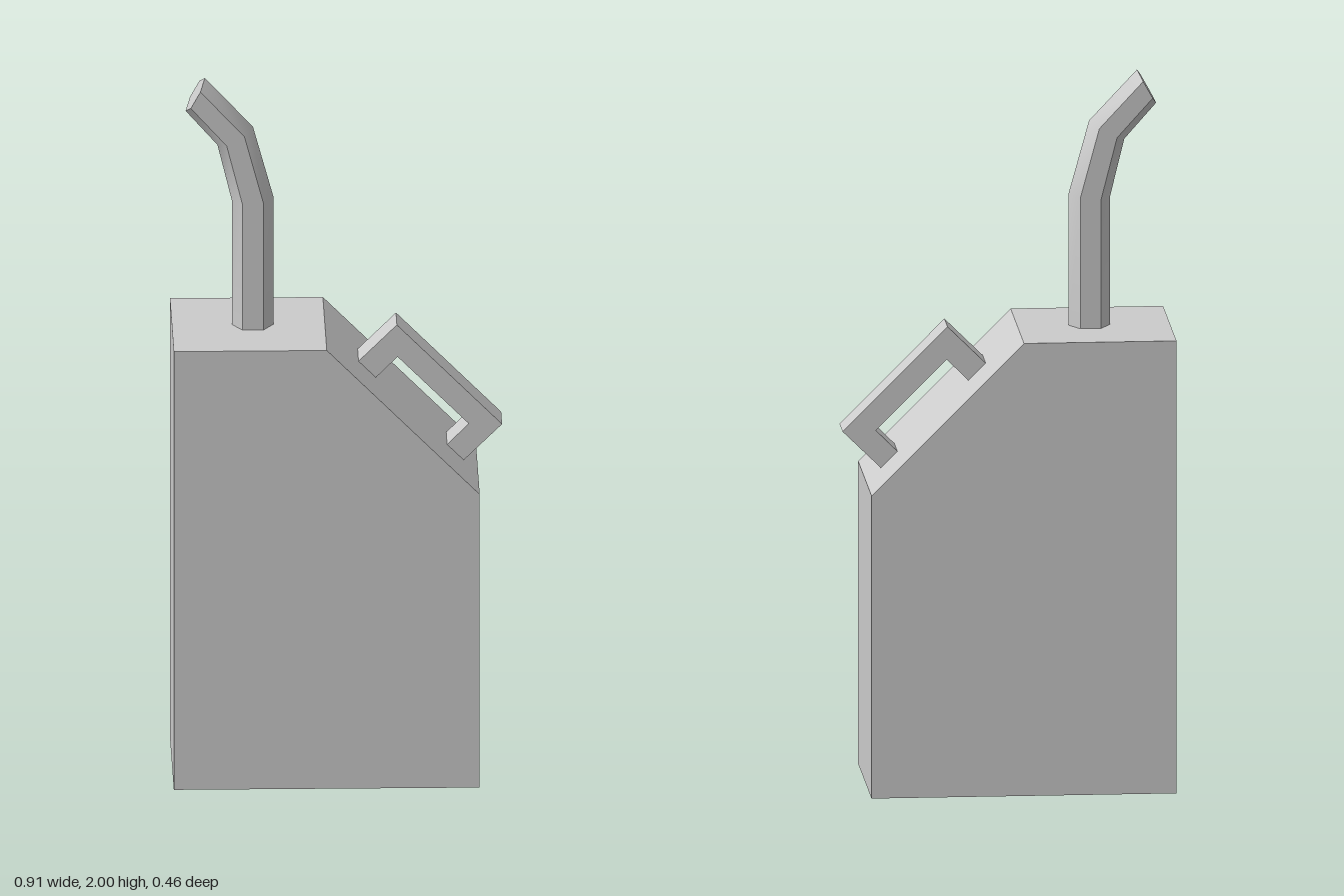
import * as THREE from 'three';
import { toCreasedNormals } from 'three/addons/utils/BufferGeometryUtils.js';

const material = new THREE.MeshStandardMaterial({ color: 0xcccccc });

// Extrudes a polygon drawn in the xy plane, centred on z = 0
function slab(name, points, depth, hole) {
  const toVectors = (list) => list.map(([x, y]) => new THREE.Vector2(x, y));
  const shape = new THREE.Shape(toVectors(points));
  if (hole) shape.holes.push(new THREE.Path(toVectors(hole)));
  const geometry = new THREE.ExtrudeGeometry(shape, { depth, bevelEnabled: false });
  geometry.translate(0, 0, -depth / 2);
  const mesh = new THREE.Mesh(geometry, material);
  mesh.name = name;
  return mesh;
}

// Hexagonal tube bent through rings of [left x, left y, right x, right y]
function spout() {
  const rings = [
    [-0.292, 1.27, -0.177, 1.27],
    [-0.292, 1.642, -0.177, 1.652],
    [-0.332, 1.805, -0.234, 1.858],
    [-0.42, 1.905, -0.367, 2.0],
  ];
  const last = rings.length - 1;
  const geometry = new THREE.CylinderGeometry(1, 1, last, 6, last, false, Math.PI / 2);
  const p = geometry.attributes.position;
  for (let i = 0; i < p.count; i++) {
    const [x0, y0, x1, y1] = rings[Math.round(p.getY(i) + last / 2)];
    const t = (p.getX(i) + 1) / 2;
    p.setXYZ(i, x0 + (x1 - x0) * t, y0 + (y1 - y0) * t, p.getZ(i) * 0.0575);
  }
  const mesh = new THREE.Mesh(toCreasedNormals(geometry, 0.75), material);
  mesh.name = 'spout';
  return mesh;
}

export function createModel() {
  const model = new THREE.Group();
  model.name = 'fuelCan';

  // Tank with a sloped shoulder
  model.add(slab('tank', [
    [-0.458, 0], [0.388, 0], [0.388, 0.856], [-0.035, 1.28], [-0.458, 1.28],
  ], 0.458));

  // Bracket handle standing on the shoulder
  model.add(slab('handle', [
    [0.057, 1.188], [0.105, 1.14], [0.165, 1.2], [0.362, 1.003],
    [0.302, 0.943], [0.348, 0.897], [0.454, 1.001], [0.163, 1.293],
  ], 0.106));

  model.add(spout());
  return model;
}
